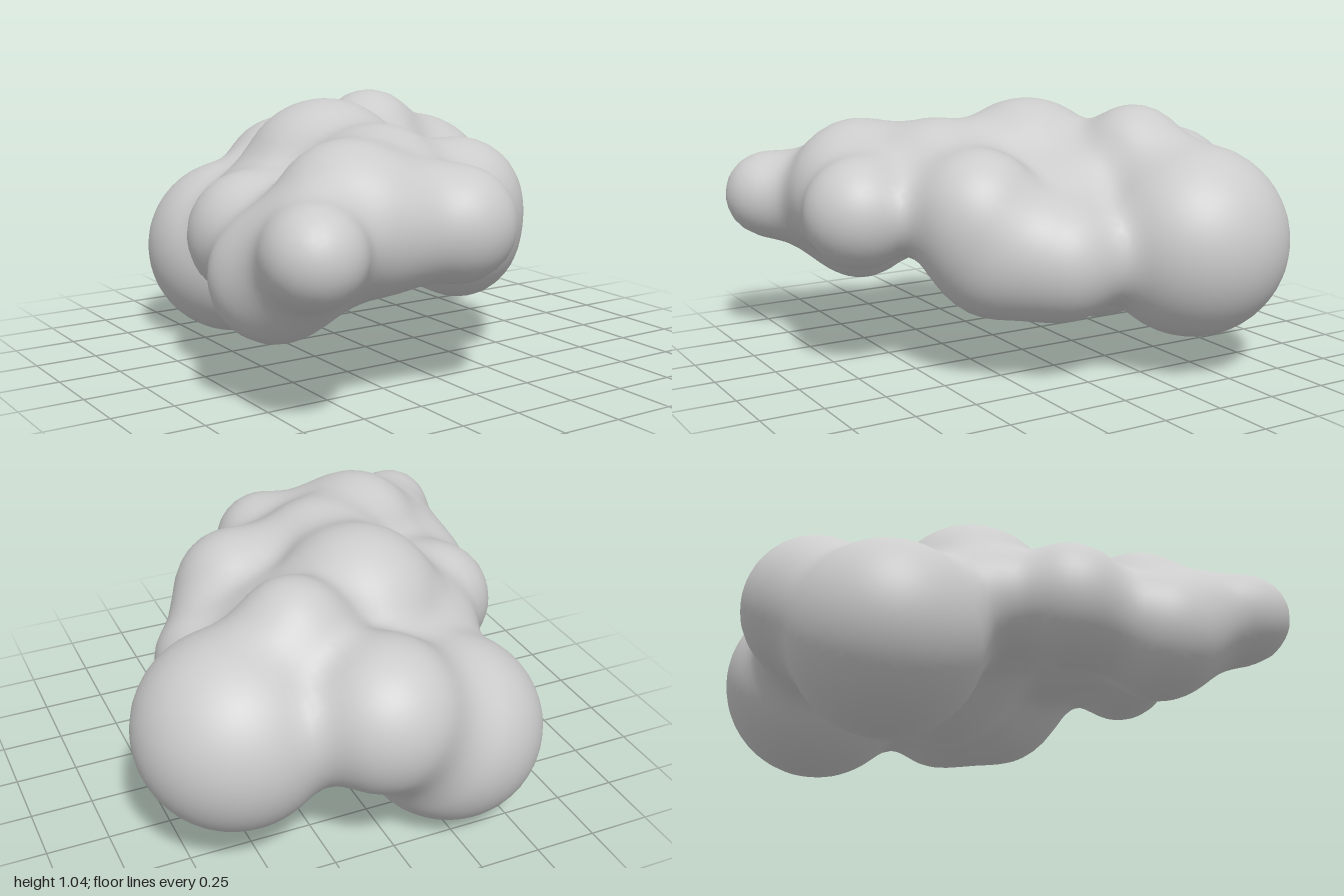
import * as THREE from 'three';

// Puffs of the cloud: x, y, z, radius
const PUFFS = [
  [-0.31, 0.373, -0.57, 0.375], // low back puff
  [0.04, 0.605, -0.7, 0.302], // rear puff
  [0.54, 0.525, -0.46, 0.386], // large side puff
  [-0.13, 0.69, -0.1, 0.355], // crown
  [0.26, 0.82, -0.37, 0.22], // small top puff
  [-0.42, 0.68, 0.53, 0.29],
  [-0.15, 0.7, 0.32, 0.285],
  [-0.06, 0.65, 0.7, 0.222], // front puff
  [-0.74, 0.63, 0.82, 0.181], // tip
  [-0.66, 0.6, 0.64, 0.185], // neck of the tip
  [-0.33, 0.65, 0.63, 0.2], // front bridge
  [-0.67, 0.48, 0.43, 0.248],
  [-0.57, 0.56, 0.07, 0.25],
  [-0.42, 0.57, -0.2, 0.19], // side bridge
  [0.22, 0.65, 0.33, 0.26],
  [0.42, 0.485, 0.08, 0.245],
  [0.26, 0.48, 0.28, 0.23],
  [0.2, 0.62, -0.1, 0.23], // inner side bridge
  [0.08, 0.48, -0.1, 0.28], // core
];

// Signed distance to the softly merged puffs
function field(x, y, z) {
  const k = 0.14;
  let d = 10;
  for (const [px, py, pz, r] of PUFFS) {
    const s = Math.hypot(x - px, y - py, z - pz) - r;
    const h = Math.max(k - Math.abs(d - s), 0) / k;
    d = Math.min(d, s) - h * h * k / 4;
  }
  return d;
}

// Surface net: one vertex per crossed cell, one quad per crossed grid edge
function cloudGeometry() {
  const step = 0.035, min = [-1.05, -0.07, -1.1], n = [60, 35, 63];
  const at = (i, j, k) => i + n[0] * (j + n[1] * k);
  const stride = [1, n[0], n[0] * n[1]];
  const values = new Float32Array(n[0] * n[1] * n[2]);
  const cells = new Int32Array(values.length).fill(-1);
  const each = (from, fn) => {
    for (let k = from; k < n[2] - 1; k++)
      for (let j = from; j < n[1] - 1; j++)
        for (let i = from; i < n[0] - 1; i++) fn(i, j, k);
  };
  for (let k = 0; k < n[2]; k++)
    for (let j = 0; j < n[1]; j++)
      for (let i = 0; i < n[0]; i++)
        values[at(i, j, k)] = field(min[0] + i * step, min[1] + j * step, min[2] + k * step);

  const positions = [], normals = [], index = [];
  each(0, (i, j, k) => {
    const base = at(i, j, k), sum = [0, 0, 0];
    let count = 0;
    for (let c = 0; c < 8; c++)
      for (let a = 0; a < 3; a++) {
        if (c & (1 << a)) continue;
        const bits = [c & 1, (c >> 1) & 1, c >> 2];
        const p = base + bits[0] + bits[1] * stride[1] + bits[2] * stride[2];
        const v0 = values[p], v1 = values[p + stride[a]];
        if ((v0 < 0) === (v1 < 0)) continue;
        bits[a] = v0 / (v0 - v1);
        bits.forEach((b, q) => { sum[q] += b; });
        count++;
      }
    if (!count) return;
    cells[base] = positions.length / 3;
    const p = [i, j, k].map((g, q) => min[q] + (g + sum[q] / count) * step);
    positions.push(...p);
    const e = 0.03;
    const normal = new THREE.Vector3(...[0, 1, 2].map((a) => {
      const hi = [...p], lo = [...p];
      hi[a] += e;
      lo[a] -= e;
      return field(...hi) - field(...lo);
    })).normalize();
    normals.push(normal.x, normal.y, normal.z);
  });
  each(1, (i, j, k) => {
    const p = at(i, j, k);
    for (let a = 0; a < 3; a++) {
      const inside = values[p] < 0;
      if (inside === (values[p + stride[a]] < 0)) continue;
      const u = stride[(a + 1) % 3], v = stride[(a + 2) % 3];
      const q = [p - u - v, p - v, p, p - u].map((c) => cells[c]);
      if (!inside) q.reverse();
      index.push(q[0], q[1], q[2], q[0], q[2], q[3]);
    }
  });
  const geometry = new THREE.BufferGeometry();
  geometry.setAttribute('position', new THREE.Float32BufferAttribute(positions, 3));
  geometry.setAttribute('normal', new THREE.Float32BufferAttribute(normals, 3));
  geometry.setIndex(index);
  return geometry;
}

export function createModel() {
  const group = new THREE.Group();
  group.name = 'cloud';
  const body = new THREE.Mesh(cloudGeometry(), new THREE.MeshStandardMaterial({ color: 0xcccccc }));
  body.name = 'cloudBody';
  group.add(body);
  return group;
}
